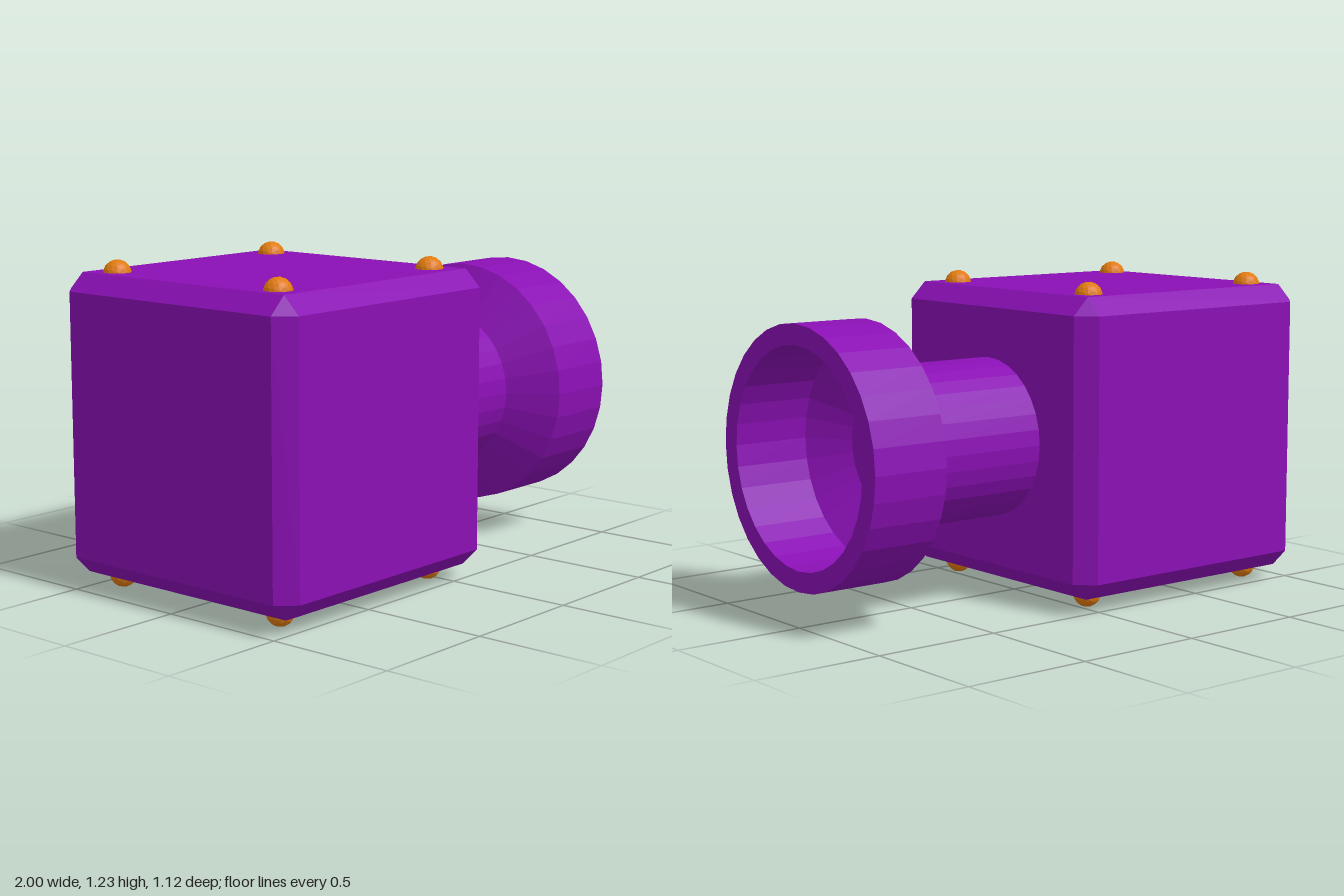
import * as THREE from 'three';
import { ConvexGeometry } from 'three/addons/geometries/ConvexGeometry.js';

const purple = new THREE.MeshStandardMaterial({ color: 0x8a10b4, flatShading: true });
const orange = new THREE.MeshStandardMaterial({ color: 0xe07b10, flatShading: true });

// Cube with flat chamfers: hull of the 24 chamfer corners
function chamferedCube(size, chamfer) {
  const h = size / 2, i = h - chamfer, points = [];
  for (const x of [-1, 1]) for (const y of [-1, 1]) for (const z of [-1, 1]) {
    points.push(
      new THREE.Vector3(x * h, y * i, z * i),
      new THREE.Vector3(x * i, y * h, z * i),
      new THREE.Vector3(x * i, y * i, z * h));
  }
  return new ConvexGeometry(points);
}

export function createModel() {
  const group = new THREE.Group();
  const centerY = 0.62, bodyX = -0.4375, size = 1.125;

  const body = new THREE.Mesh(chamferedCube(size, 0.066), purple);
  body.name = 'body';
  body.position.set(bodyX, centerY, 0);
  group.add(body);

  // Neck flaring into a hollow cup, turned about the x axis
  const profile = [
    [0.305, 0.1], [0.305, 0.585], [0.487, 0.695], [0.487, 1],
    [0.41, 1], [0.41, 0.695], [0.256, 0.585], [0, 0.585],
  ].map(([r, x]) => new THREE.Vector2(r, x));
  const nozzle = new THREE.Mesh(new THREE.LatheGeometry(profile, 32), purple);
  nozzle.name = 'nozzle';
  nozzle.rotation.z = -Math.PI / 2;
  nozzle.position.y = centerY;
  group.add(nozzle);

  // Round studs near the corners of the top and bottom faces
  const studs = new THREE.Group();
  studs.name = 'studs';
  const studGeometry = new THREE.IcosahedronGeometry(0.053, 2);
  for (const x of [-0.855, -0.032]) for (const y of [0.053, 1.176]) for (const z of [-0.397, 0.397]) {
    const stud = new THREE.Mesh(studGeometry, orange);
    stud.name = y > centerY ? 'topStud' : 'bottomStud';
    stud.position.set(x, y, z);
    studs.add(stud);
  }
  group.add(studs);
  return group;
}
